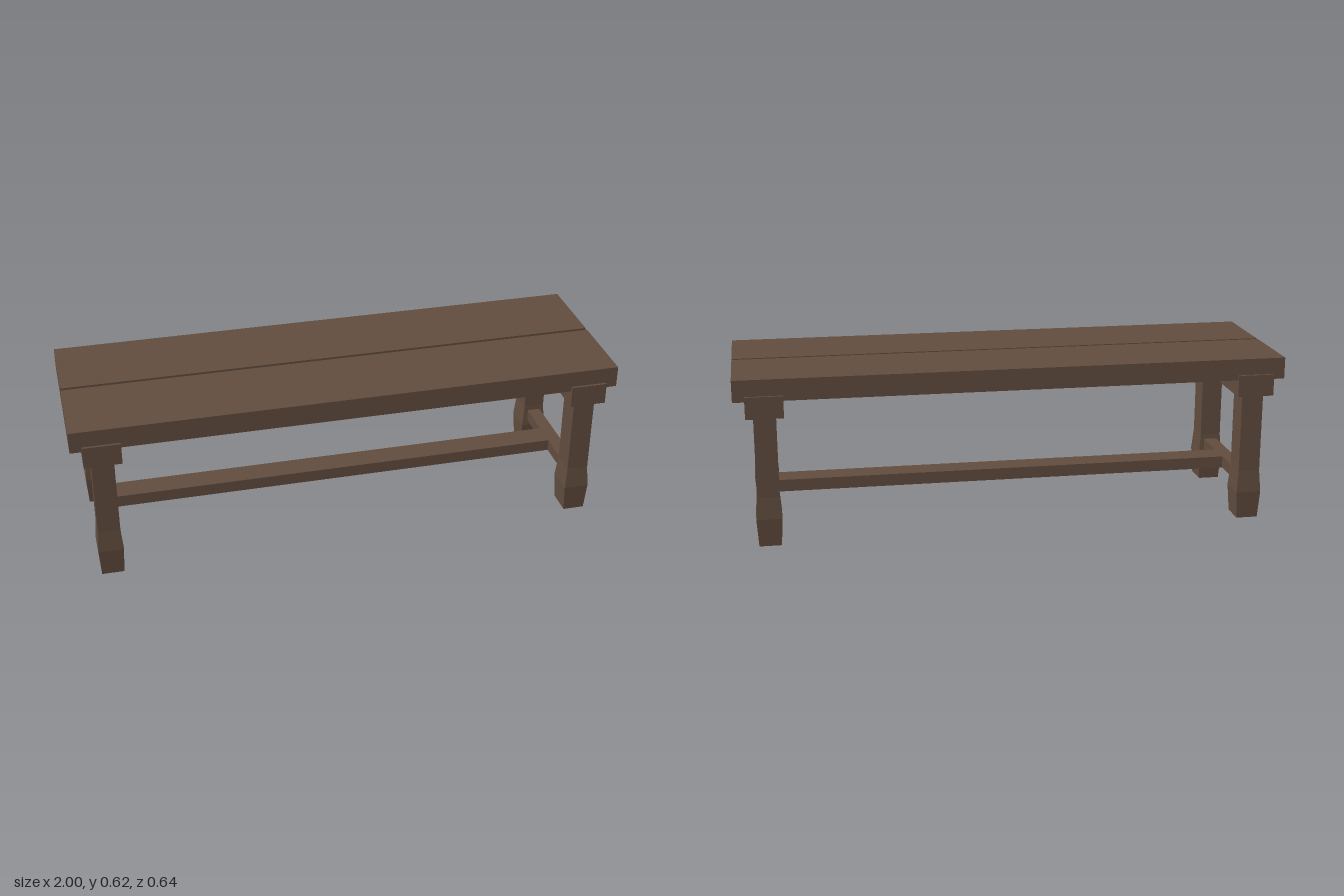
import * as THREE from 'three';

export function createModel() {
  const group = new THREE.Group();
  group.name = 'bench';
  const wood = new THREE.MeshStandardMaterial({ color: 0x624d3f, flatShading: true });
  wood.name = 'dark wood';

  const add = (name, geometry, x, y, z) => {
    const mesh = new THREE.Mesh(geometry, wood);
    mesh.name = name;
    mesh.position.set(x, y, z);
    group.add(mesh);
  };
  const box = (name, w, h, d, x, y, z) => add(name, new THREE.BoxGeometry(w, h, d), x, y, z);

  // Square post whose foot swells out, then tapers to the floor
  const legGeometry = () => {
    const rings = [[0, 0.04, 0.047], [0.103, 0.0465, 0.054], [0.185, 0.04, 0.047], [0.5, 0.04, 0.047]];
    const geo = new THREE.BoxGeometry(2, 3, 2, 1, 3, 1);
    const p = geo.attributes.position;
    for (let i = 0; i < p.count; i++) {
      const [y, hx, hz] = rings[Math.round(p.getY(i) + 1.5)];
      p.setXYZ(i, p.getX(i) * hx, y, p.getZ(i) * hz);
    }
    geo.computeVertexNormals();
    return geo;
  };

  // Seat planks with a narrow gap between them
  for (const s of [1, -1]) {
    box(s > 0 ? 'frontPlank' : 'backPlank', 2, 0.079, 0.303, 0, 0.5835, s * 0.1585);
  }

  // Two end frames: crossbeam, pair of legs and low stretcher
  for (const s of [1, -1]) {
    const side = s > 0 ? 'left' : 'right';
    const x = s * 0.891;
    box(side + 'Crossbeam', 0.134, 0.08, 0.638, x, 0.523, 0);
    box(side + 'Stretcher', 0.05, 0.045, 0.42, x, 0.1445, 0);
    add(side + 'FrontLeg', legGeometry(), x, 0, 0.239);
    add(side + 'BackLeg', legGeometry(), x, 0, -0.239);
  }

  // Long stretcher joining the end frames
  box('longStretcher', 1.74, 0.045, 0.094, 0, 0.1445, 0);

  return group;
}
